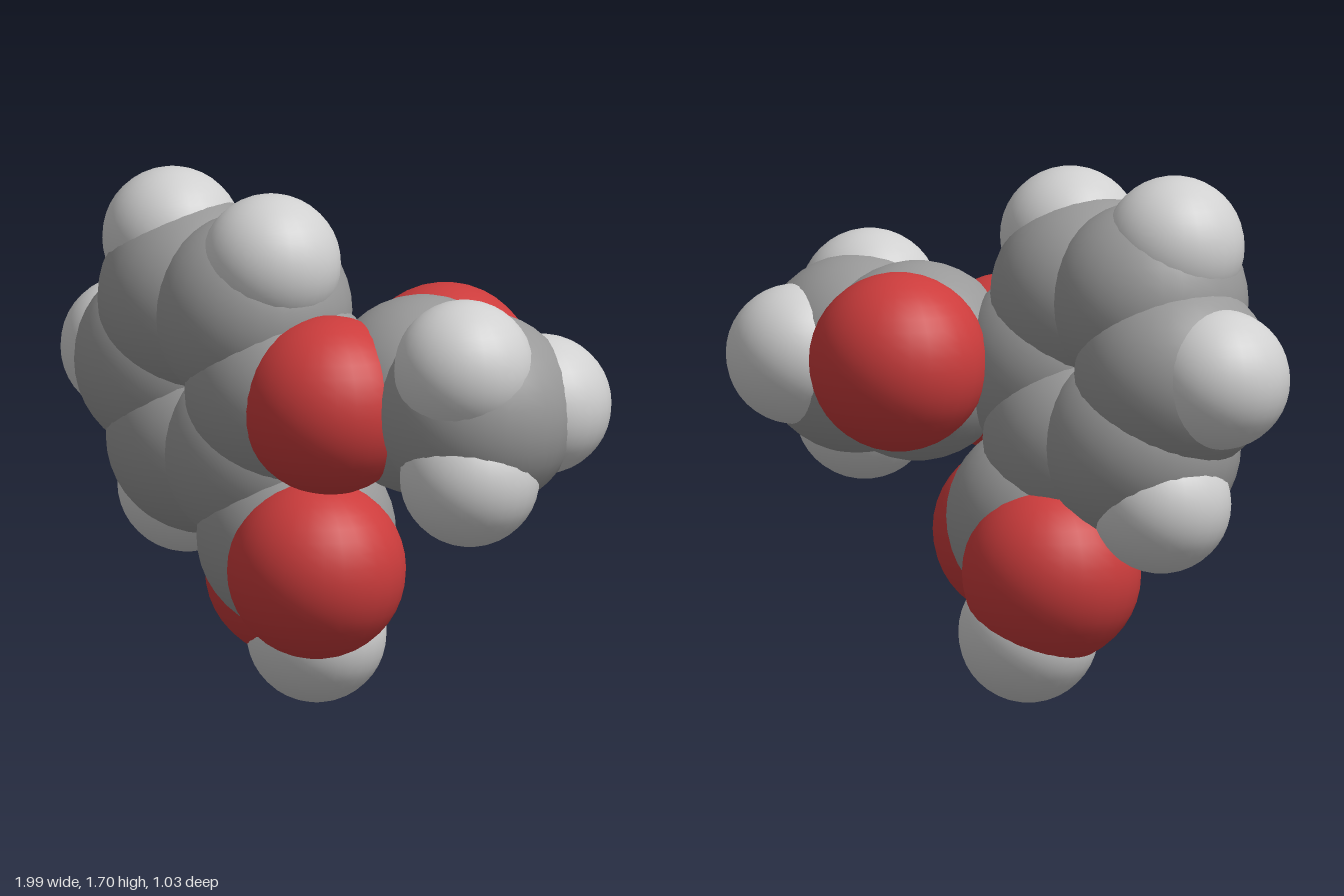
import * as THREE from 'three';

const mat = (name, color) => {
  const m = new THREE.MeshStandardMaterial({ color });
  m.name = name;
  return m;
};

export function createModel() {
  const model = new THREE.Group();
  model.name = 'spaceFillingMolecule';

  // One smooth ball and one colour per element
  const ball = (radius) => new THREE.SphereGeometry(radius, 28, 20);
  const elements = {
    carbon: { geometry: ball(0.318), material: mat('carbonGrey', 0x999999) },
    oxygen: { geometry: ball(0.285), material: mat('oxygenRed', 0xcc3c3c) },
    hydrogen: { geometry: ball(0.223), material: mat('hydrogenWhite', 0xd0d0d0) },
  };
  const addAtom = (group, element, name, position) => {
    const { geometry, material } = elements[element];
    const atom = new THREE.Mesh(geometry, material);
    atom.name = name;
    atom.position.set(...position);
    group.add(atom);
  };
  const addGroup = (name) => {
    const g = new THREE.Group();
    g.name = name;
    model.add(g);
    return g;
  };

  // Tilted six-carbon ring: spokes p and q lie 60 degrees apart in its plane
  const ring = addGroup('carbonRing');
  const centre = new THREE.Vector3(-0.313, 1.062, 0.075);
  const p = new THREE.Vector3(-0.222, 0.415, -0.01);
  const q = new THREE.Vector3(0.237, 0.395, 0.12);
  const spokes = [[0, 1], [1, 0], [1, -1], [0, -1], [-1, 0], [-1, 1]];
  spokes.forEach(([i, j], n) => {
    const spoke = p.clone().multiplyScalar(i).addScaledVector(q, j);
    const at = (k) => centre.clone().addScaledVector(spoke, k).toArray();
    addAtom(ring, 'carbon', `ringCarbon${n + 1}`, at(0.56));
    // The last two ring carbons carry side groups instead of hydrogen
    if (n < 4) addAtom(ring, 'hydrogen', `ringHydrogen${n + 1}`, at(1));
  });

  // Side group on the right of the ring
  const ester = addGroup('esterGroup');
  addAtom(ester, 'oxygen', 'linkOxygen', [0.165, 1.03, 0.225]);
  addAtom(ester, 'carbon', 'esterCarbon', [0.37, 1.05, -0.005]);
  addAtom(ester, 'oxygen', 'esterOxygen', [0.305, 1.08, -0.232]);
  addAtom(ester, 'carbon', 'methylCarbon', [0.64, 1.04, 0.09]);
  [[0.675, 1.197, 0.222], [0.675, 0.847, 0.19], [0.772, 1.05, -0.076]].forEach((pos, n) =>
    addAtom(ester, 'hydrogen', `methylHydrogen${n + 1}`, pos));

  // Side group below the ring
  const acid = addGroup('acidGroup');
  addAtom(acid, 'carbon', 'acidCarbon', [-0.055, 0.57, 0.08]);
  addAtom(acid, 'oxygen', 'acidOxygen', [0.12, 0.497, 0.23]);
  addAtom(acid, 'oxygen', 'hydroxylOxygen', [-0.175, 0.42, -0.092]);
  addAtom(acid, 'hydrogen', 'hydroxylHydrogen', [-0.085, 0.223, -0.083]);

  return model;
}
